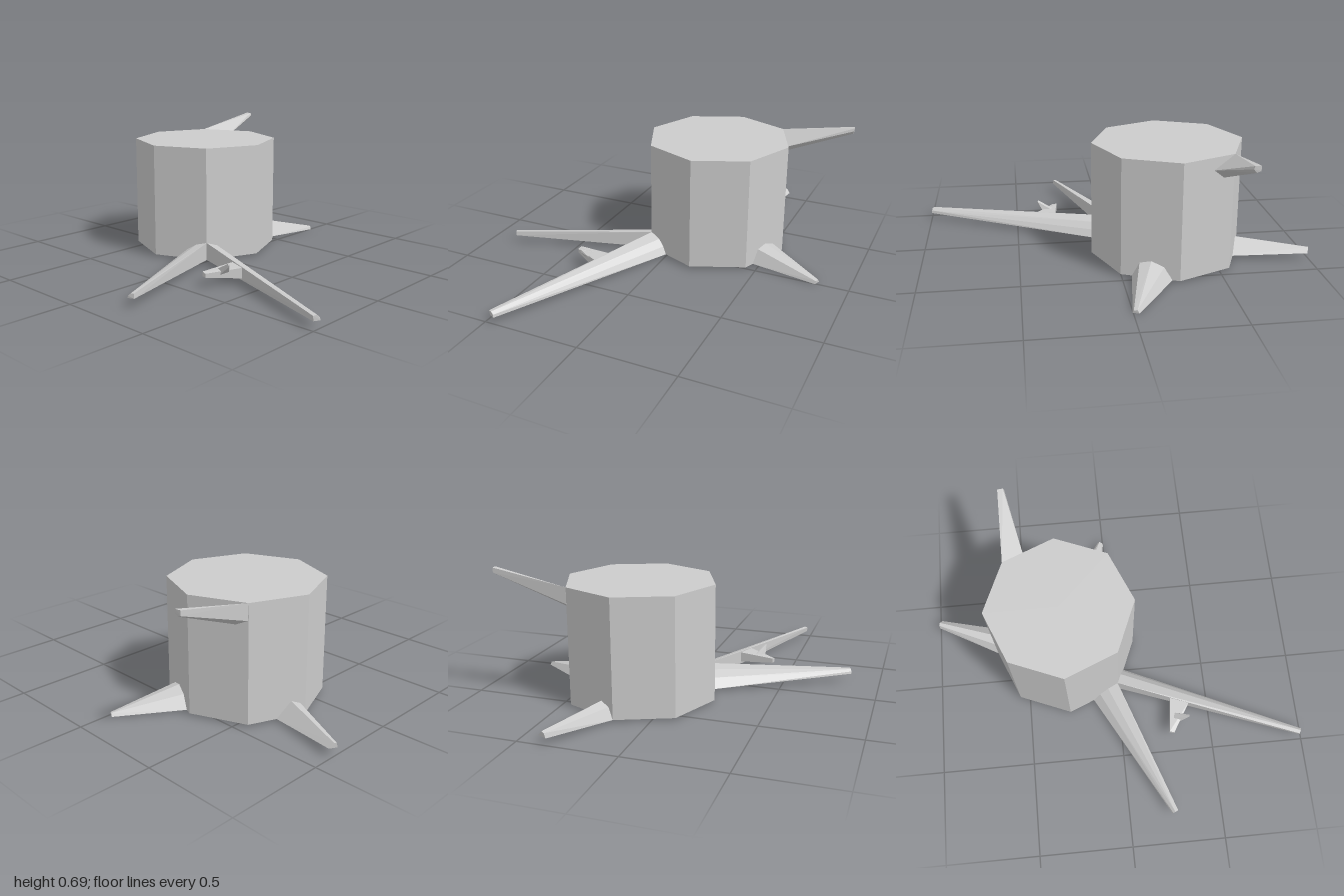
import * as THREE from 'three';
import { ConvexGeometry } from 'three/addons/geometries/ConvexGeometry.js';

export function createModel() {
  const group = new THREE.Group();
  const material = new THREE.MeshStandardMaterial({ color: 0xcccccc, flatShading: true });

  function add(name, geometry) {
    const mesh = new THREE.Mesh(geometry, material);
    mesh.name = name;
    group.add(mesh);
    return mesh;
  }

  // A tapering faceted limb between a base outline and a tip outline
  function limb(name, base, tip) {
    const points = [...base, ...tip].map(p => new THREE.Vector3(...p));
    return add(name, new ConvexGeometry(points));
  }

  // Eight-sided stump
  const trunk = add('trunk', new THREE.CylinderGeometry(0.393, 0.393, 0.605, 8));
  trunk.position.set(0.17, 0.3125, -0.275);

  // Long front root
  limb('frontRoot',
    [[-0.107, 0.105, 0.003], [-0.05, 0.085, 0.026], [-0.02, 0.05, 0.038], [0, 0.01, 0.047], [-0.107, 0.01, 0.003]],
    [[-0.483, 0.06, 0.985], [-0.465, 0.062, 0.993], [-0.452, 0.05, 0.998], [-0.45, 0.035, 1], [-0.48, 0.035, 0.985]]);

  // Long right root
  limb('rightRoot',
    [[-0.107, 0.105, 0.003], [-0.13, 0.09, -0.053], [-0.15, 0.06, -0.1], [-0.165, 0.01, -0.138], [-0.107, 0.01, 0.003]],
    [[-0.838, 0.072, 0.258], [-0.845, 0.07, 0.242], [-0.85, 0.06, 0.232], [-0.85, 0.048, 0.228], [-0.838, 0.048, 0.26]]);

  // Short left root
  limb('leftRoot',
    [[0.47, 0.01, -0.05], [0.484, 0.085, -0.085], [0.507, 0.1, -0.14], [0.531, 0.075, -0.2], [0.547, 0.01, -0.24]],
    [[0.825, 0, 0.003], [0.829, 0.015, -0.002], [0.836, 0.018, -0.018], [0.84, 0.002, -0.027]]);

  // Short back root
  limb('backRoot',
    [[0.17, 0.01, -0.667], [0.195, 0.07, -0.657], [0.24, 0.09, -0.638], [0.31, 0.01, -0.609]],
    [[0.35, 0.035, -1], [0.357, 0.06, -1], [0.372, 0.065, -0.995], [0.393, 0.04, -0.985]]);

  // Broken branch at the top rim
  limb('branch',
    [[0.448, 0.615, -0.553], [0.45, 0.53, -0.55], [0.472, 0.505, -0.495], [0.492, 0.55, -0.44]],
    [[0.845, 0.685, -0.55], [0.845, 0.66, -0.55], [0.845, 0.653, -0.53], [0.848, 0.67, -0.515], [0.848, 0.685, -0.52]]);

  // Side twig growing from the front root, with a small thorn
  limb('twig',
    [[-0.21, 0.085, 0.29], [-0.25, 0.085, 0.39], [-0.21, 0.03, 0.29], [-0.25, 0.03, 0.39]],
    [[-0.405, 0.075, 0.265], [-0.412, 0.07, 0.29], [-0.405, 0.05, 0.265], [-0.412, 0.05, 0.29]]);
  limb('thorn',
    [[-0.295, 0.07, 0.285], [-0.33, 0.07, 0.28], [-0.35, 0.06, 0.33], [-0.305, 0.06, 0.345]],
    [[-0.345, 0.123, 0.375], [-0.333, 0.12, 0.38], [-0.34, 0.108, 0.38]]);

  return group;
}
